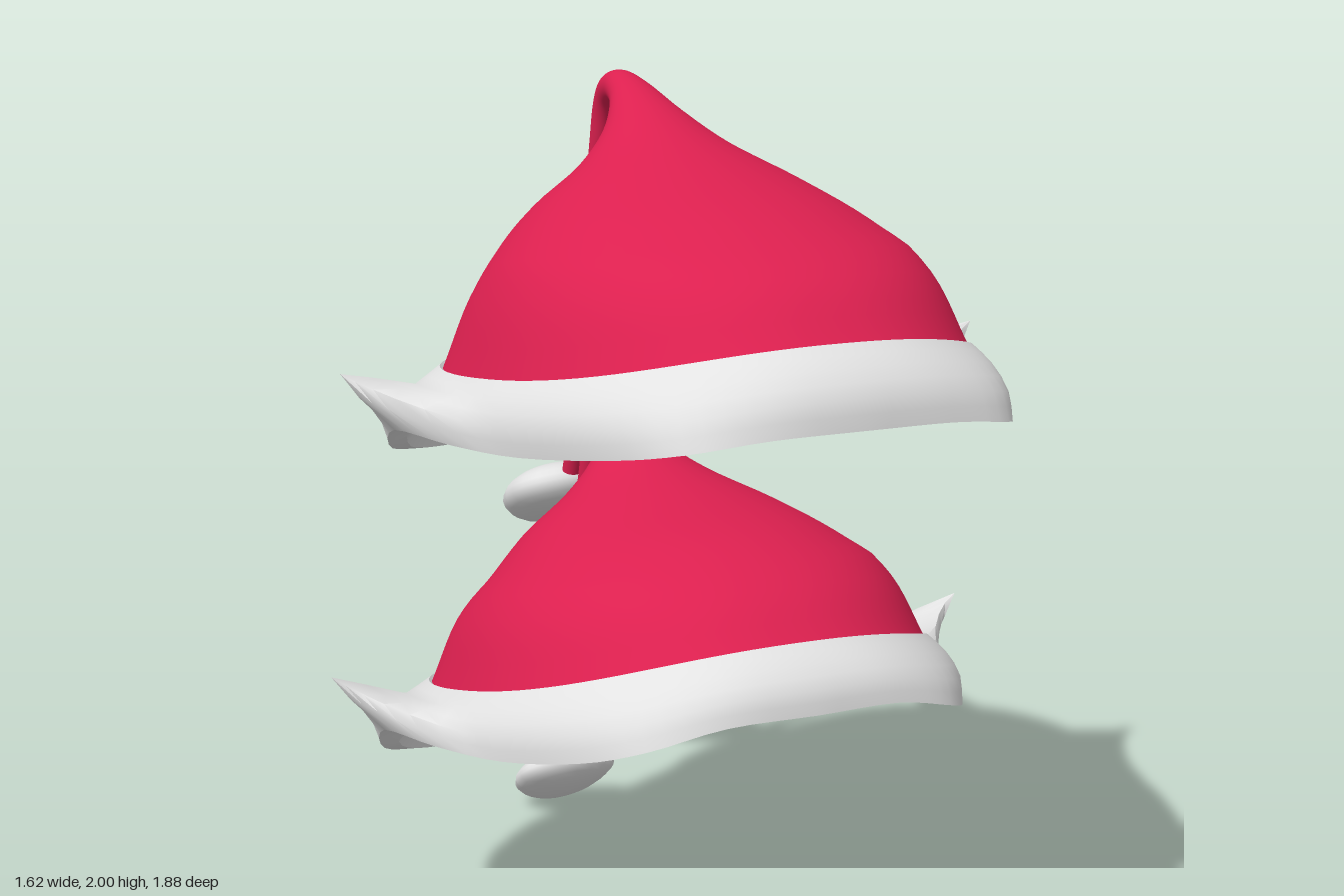
import * as THREE from 'three';
import { toCreasedNormals } from 'three/addons/utils/BufferGeometryUtils.js';

const N = 80; // points around each ring
const red = new THREE.MeshStandardMaterial({ color: 0xdc204f, side: THREE.DoubleSide });
red.name = 'red felt';
const white = new THREE.MeshStandardMaterial({ color: 0xe2e2e2, side: THREE.DoubleSide });
white.name = 'white fur';

// sections: front z, y; back z, y; half width, from the crown's base to the tail's end
// brim: lower edge of the band, from the front round one side to the back
// ear: tip of the side flap
const UPPER = {
  sections: [
    [0.83, 1.55, -0.45, 1.33, 0.54], [0.71, 1.665, -0.43, 1.48, 0.485], [0.5, 1.75, -0.39, 1.59, 0.4],
    [0.25, 1.82, -0.32, 1.67, 0.3], [0.05, 1.88, -0.25, 1.74, 0.185], [-0.1, 1.94, -0.215, 1.81, 0.105],
    [-0.22, 1.985, -0.225, 1.88, 0.06], [-0.31, 2.0, -0.28, 1.915, 0.042], [-0.385, 1.975, -0.335, 1.92, 0.033],
    [-0.43, 1.91, -0.375, 1.89, 0.028], [-0.46, 1.8, -0.41, 1.79, 0.026], [-0.535, 1.52, -0.487, 1.51, 0.025],
    [-0.58, 1.25, -0.535, 1.25, 0.025], [-0.6, 1.13, -0.555, 1.125, 0.025], [-0.66, 0.97, -0.615, 0.955, 0.025],
  ],
  brim: [
    [0, 1.4, 0.94], [0.2, 1.395, 0.925], [0.36, 1.37, 0.87], [0.45, 1.335, 0.72], [0.55, 1.295, 0.47], [0.62, 1.28, 0.25],
    [0.68, 1.275, 0.04], [0.63, 1.19, -0.14], [0.49, 1.145, -0.31], [0.28, 1.13, -0.44], [0, 1.12, -0.48],
  ],
  ear: [0.785, 1.4, 0],
};
const LOWER = {
  sections: [
    [0.64, 0.875, -0.535, 0.52, 0.55], [0.53, 0.965, -0.52, 0.66, 0.495], [0.36, 1.03, -0.47, 0.76, 0.4],
    [0.12, 1.065, -0.4, 0.86, 0.3], [-0.07, 1.1, -0.345, 0.94, 0.185], [-0.2, 1.14, -0.315, 1.01, 0.105],
    [-0.3, 1.18, -0.315, 1.07, 0.06], [-0.39, 1.2, -0.36, 1.115, 0.042], [-0.46, 1.175, -0.41, 1.12, 0.033],
    [-0.505, 1.12, -0.45, 1.1, 0.028], [-0.54, 1.01, -0.49, 1.0, 0.026], [-0.605, 0.78, -0.555, 0.775, 0.025],
    [-0.635, 0.5, -0.585, 0.495, 0.025], [-0.65, 0.35, -0.6, 0.345, 0.025], [-0.69, 0.17, -0.645, 0.155, 0.025],
  ],
  brim: [
    [0, 0.75, 0.745], [0.2, 0.745, 0.73], [0.36, 0.7, 0.68], [0.46, 0.65, 0.56], [0.56, 0.6, 0.36], [0.64, 0.575, 0.15],
    [0.7, 0.56, -0.04], [0.65, 0.45, -0.21], [0.5, 0.37, -0.39], [0.29, 0.34, -0.515], [0, 0.33, -0.555],
  ],
  ear: [0.81, 0.69, -0.075],
};

// Skin a list of closed rings
function loft(rings) {
  const index = [];
  for (let r = 0; r < rings.length - 1; r++) {
    for (let i = 0; i < N; i++) {
      const a = r * N + i, b = r * N + (i + 1) % N;
      index.push(a, b, a + N, b, b + N, a + N);
    }
  }
  const geo = new THREE.BufferGeometry().setFromPoints(rings.flat());
  geo.setIndex(index);
  geo.computeVertexNormals();
  return geo;
}

function add(parent, name, geo, mat) {
  const mesh = new THREE.Mesh(geo, mat);
  mesh.name = name;
  parent.add(mesh);
  return mesh;
}

const curve = (pts) => new THREE.CatmullRomCurve3(pts.map((p) => new THREE.Vector3(...p)), false, 'catmullrom', 0.5);

// Rings of the crown and tail: rounded and tapered at the base, circular in the tail
function crownRings(sections, count) {
  const frontLine = curve(sections.map((s) => [s[4], s[1], s[0]]));
  const backLine = curve(sections.map((s) => [s[4], s[3], s[2]]));
  return Array.from({ length: count }, (_, k) => {
    const t = k / (count - 1);
    const f = frontLine.getPoint(t), b = backLine.getPoint(t);
    const e = Math.min(1, 0.87 + t), low = Math.max(0, 1 - t * 10);
    const pow = (v) => Math.sign(v) * Math.abs(v) ** e;
    return Array.from({ length: N }, (_, i) => {
      const a = (i / N) * Math.PI * 2, c = Math.cos(a), s = Math.sin(a);
      const p = b.clone().lerp(f, 0.5 + pow(c) / 2);
      p.x = f.x * pow(s) * (1 - 0.09 * c * low);
      p.y -= 0.037 * low * s * s * (1 + 0.8 * c);
      return p;
    });
  });
}

// Fur band around the base ring, drawn out to a pointed flap at each side
function bandGeometry({ sections, brim, ear }, base) {
  const midZ = (sections[0][0] + sections[0][2]) / 2;
  const spread = (ring, s, dy = 0) =>
    ring.map((p) => new THREE.Vector3(p.x * s, p.y + dy, midZ + (p.z - midZ) * s));
  const brimLine = curve(brim);
  const around = base.map((_, i) => (i <= N / 2 ? (2 * i) / N : 2 - (2 * i) / N));
  const side = (i) => (i <= N / 2 ? 1 : -1);
  const bottom = around.map((u, i) => {
    const p = brimLine.getPoint(u);
    p.x *= side(i);
    return p;
  });
  const top = spread(base, 1.012, 0.005);
  const between = (t, s) => spread(bottom.map((p, i) => p.clone().lerp(top[i], t)), s);
  const upper = between(0.75, 1.04);
  const bulge = between(0.4, 1.045).map((p, i) => {
    const d = around[i] - 0.6;
    const pull = Math.max(0, 1 - (d < 0 ? -d / 0.14 : d / 0.085)) ** 1.2;
    return p.lerp(new THREE.Vector3(ear[0] * side(i), ear[1], ear[2]), pull);
  });
  const arcs = bottom.map((p, i) => new THREE.CatmullRomCurve3([p, bulge[i], upper[i], top[i]]));
  const rings = [spread(bottom, 0.94, 0.005)];
  for (let k = 0; k <= 6; k++) rings.push(arcs.map((c) => c.getPoint(k / 6)));
  rings.push(spread(base, 0.965, -0.02), rings[0].map((p) => p.clone()));
  return toCreasedNormals(loft(rings), 0.9);
}

// Flattened drop, narrower at the free end
function addPompom(parent, y, z, thickness, length, tilt) {
  const geo = new THREE.SphereGeometry(1, 20, 14);
  const pos = geo.attributes.position;
  for (let i = 0; i < pos.count; i++) {
    const along = pos.getZ(i);
    pos.setX(i, pos.getX(i) * (1 + 0.2 * along));
    pos.setZ(i, Math.sign(along) * Math.abs(along) ** 0.85);
  }
  geo.scale(0.133, thickness, length);
  geo.computeVertexNormals();
  const mesh = add(parent, 'pompom', geo, white);
  mesh.position.set(0, y, z);
  mesh.rotation.x = -tilt;
}

function makeHat(name, shape) {
  const hat = new THREE.Group();
  hat.name = name;
  const rings = crownRings(shape.sections, 71);
  add(hat, 'crownAndTail', loft(rings), red);
  add(hat, 'furBandWithEarFlaps', bandGeometry(shape, rings[0]), white);
  return hat;
}

export function createModel() {
  const model = new THREE.Group();
  model.name = 'twoHats';
  const upper = makeHat('upperHat', UPPER);
  addPompom(upper, 0.872, -0.775, 0.068, 0.175, 0.46);
  const lower = makeHat('lowerHat', LOWER);
  addPompom(lower, 0.1, -0.735, 0.052, 0.14, 0.66);
  model.add(upper, lower);
  return model;
}
